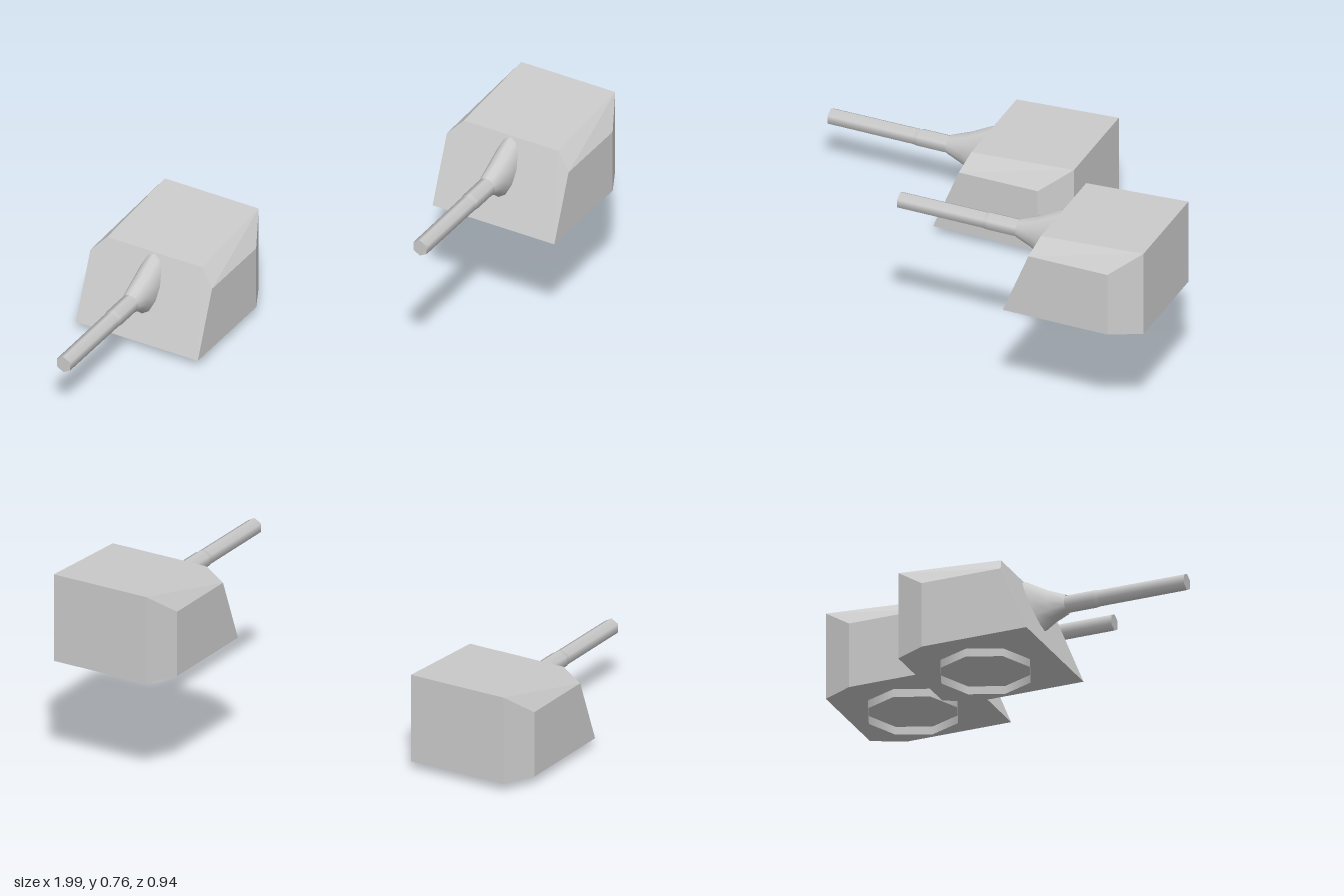
import * as THREE from 'three';
import { ConvexGeometry } from 'three/addons/geometries/ConvexGeometry.js';

const grey = new THREE.MeshStandardMaterial({ color: 0xcccccc });
const greyDouble = new THREE.MeshStandardMaterial({ color: 0xcccccc, side: THREE.DoubleSide });

const AXIS_Y = 0.212; // height of the gun axis
const plateZ = (y) => 0.262 - 0.4 * (y - 0.03); // sloped front plate

function addMesh(parent, name, geometry, material = grey) {
  const mesh = new THREE.Mesh(geometry, material);
  mesh.name = name;
  parent.add(mesh);
  return mesh;
}

// Faceted armoured house: sloped front, chamfered roof edges, narrowed rear
function hullGeometry() {
  const half = [
    [0.244, 0.03, 0.262], [0.244, 0.03, -0.134], [0.188, 0.03, -0.246],
    [0.244, 0.272, 0.165], [0.244, 0.272, -0.134],
    [0.19, 0.33, 0.142], [0.188, 0.355, -0.246],
  ];
  const points = [];
  for (const [x, y, z] of half) {
    for (const side of [1, -1]) points.push(new THREE.Vector3(side * x, y, z));
  }
  return new ConvexGeometry(points);
}

// Flared mantlet: a tall oval on the sloped plate narrowing to the round gun sleeve
function mantletGeometry() {
  const sides = 12;
  const sections = [ // half width, half height, centre y, blend from plate (0) to sleeve (1)
    [0.046, 0.1, 0.226, -0.08],
    [0.046, 0.1, 0.226, 0.05],
    [0.042, 0.062, 0.216, 0.5],
    [0.034, 0.034, AXIS_Y, 1],
  ];
  const positions = [];
  const index = [];
  sections.forEach(([w, h, cy, t], row) => {
    for (let i = 0; i < sides; i++) {
      const a = (i / sides) * Math.PI * 2;
      const y = cy + h * Math.sin(a);
      positions.push(w * Math.cos(a), y, THREE.MathUtils.lerp(plateZ(y), 0.31, t));
      if (row === 0) continue;
      const j = (i + 1) % sides;
      const p = (row - 1) * sides;
      const q = row * sides;
      index.push(p + i, p + j, q + j, p + i, q + j, q + i);
    }
  });
  const geometry = new THREE.BufferGeometry();
  geometry.setAttribute('position', new THREE.Float32BufferAttribute(positions, 3));
  geometry.setIndex(index);
  geometry.computeVertexNormals();
  return geometry;
}

// Six-sided tube section lying along z
function gunSection(r0, r1, z0, z1) {
  return new THREE.CylinderGeometry(r1, r0, z1 - z0, 6)
    .rotateX(Math.PI / 2)
    .translate(0, AXIS_Y, (z0 + z1) / 2);
}

function createTurret(name) {
  const turret = new THREE.Group();
  turret.name = name;

  addMesh(turret, 'hull', hullGeometry());

  // Open eight-sided ring under the hull
  const ring = new THREE.CylinderGeometry(0.167, 0.167, 0.03, 8, 1, true);
  addMesh(turret, 'baseRing', ring, greyDouble).position.y = 0.015;

  addMesh(turret, 'mantlet', mantletGeometry(), greyDouble);
  addMesh(turret, 'gunSleeve', gunSection(0.034, 0.034, 0.15, 0.42));
  addMesh(turret, 'sleeveTaper', gunSection(0.034, 0.0315, 0.42, 0.435));
  addMesh(turret, 'barrel', gunSection(0.0315, 0.031, 0.435, 0.76));

  turret.rotation.y = -0.62;
  return turret;
}

export function createModel() {
  const model = new THREE.Group();
  model.name = 'gunTurretPair';

  // The second turret stands higher and to the left of the first
  const lower = createTurret('lowerTurret');
  lower.position.set(-0.535, 0, -0.165);
  const upper = createTurret('upperTurret');
  upper.position.set(0.7, 0.41, -0.165);
  model.add(lower, upper);
  return model;
}
